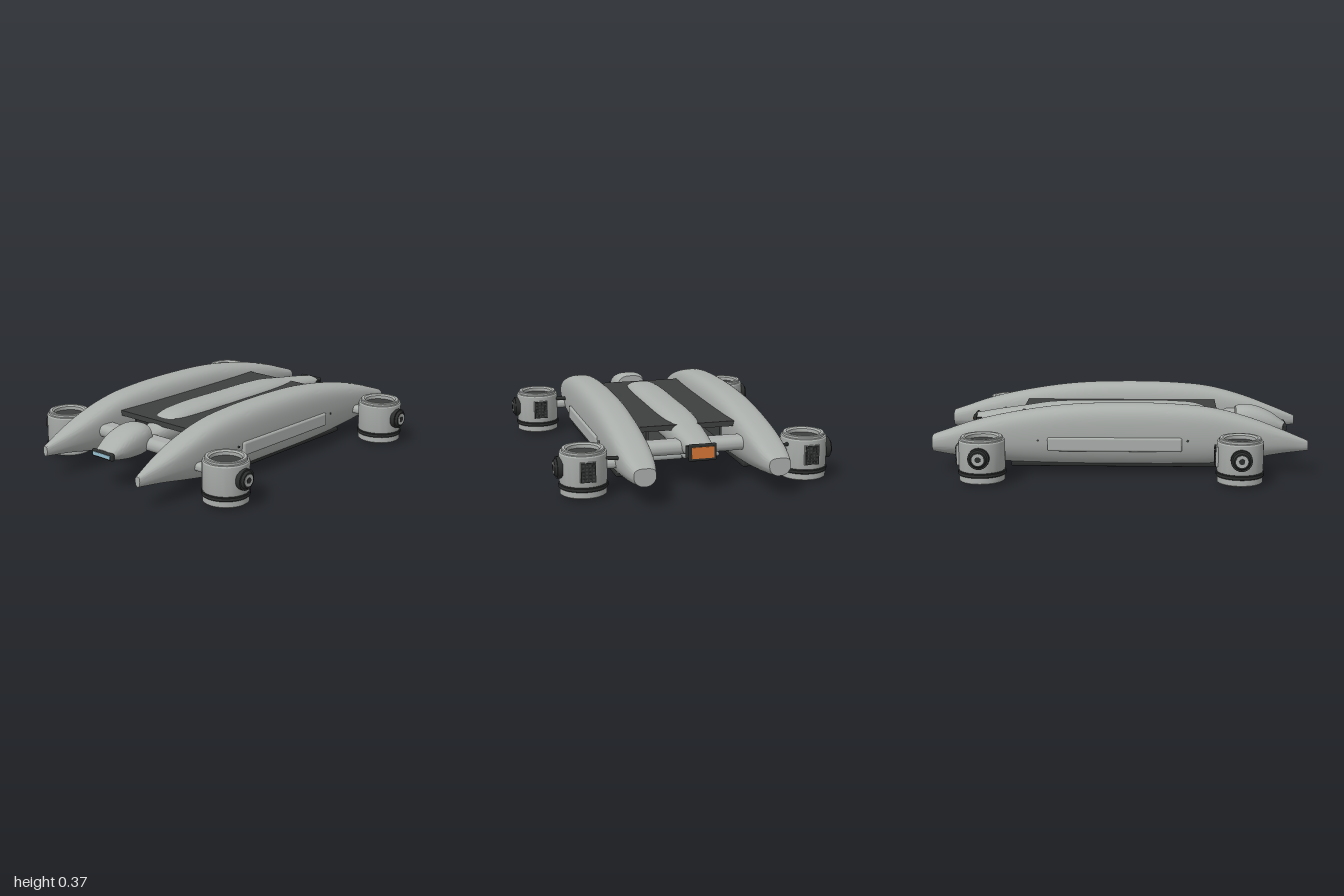
import * as THREE from 'three';
import { toCreasedNormals } from 'three/addons/utils/BufferGeometryUtils.js';
import { RoundedBoxGeometry } from 'three/addons/geometries/RoundedBoxGeometry.js';

const material = (name, color) => Object.assign(new THREE.MeshStandardMaterial({ color }), { name });
const shell = material('shell grey', 0xaaaeab);
const dark = material('deck charcoal', 0x3e3f3f);
const black = material('rubber black', 0x2c2d2d);
const panelGrey = material('panel grey', 0x8f9492);
const steel = material('outlet steel', 0x8d9da2);
const teal = material('rotor teal', 0x2c3e45);
const orange = material('tail orange', 0xd67636);
const lens = material('lens blue', 0x96c0d0);

function add(parent, name, geometry, mat, x = 0, y = 0, z = 0) {
  const mesh = new THREE.Mesh(geometry, mat);
  mesh.name = name;
  mesh.position.set(x, y, z);
  parent.add(mesh);
  return mesh;
}
const box = (w, h, d) => new THREE.BoxGeometry(w, h, d);
const rounded = (w, h, d, r) => new RoundedBoxGeometry(w, h, d, 4, r);
const drum = (r, h, n = 40) => new THREE.CylinderGeometry(r, r, h, n);
const lathe = (pts) => toCreasedNormals(
  new THREE.LatheGeometry(pts.map(([r, y]) => new THREE.Vector2(r, y)), 40), 0.5);

// Smooth body through sections [z, halfWidth, top, bottom], narrowing toward its belly
function loft(sections, { steps = 60, sides = 48, power = 2.8, taper = 0.2, waist = 0.5 } = {}) {
  const curve = new THREE.CubicInterpolant(
    sections.map((s) => s[0]), sections.flatMap((s) => s.slice(1)), 3, new Float32Array(3));
  const z0 = sections[0][0], z1 = sections[sections.length - 1][0];
  const pos = [], index = [];
  for (let i = 0; i <= steps; i++) {
    const z = z0 + (z1 - z0) * i / steps;
    const [w, top, bottom] = curve.evaluate(z);
    const mid = bottom + (top - bottom) * waist;
    for (let j = 0; j < sides; j++) {
      const a = j / sides * Math.PI * 2, c = Math.cos(a), s = Math.sin(a);
      const px = Math.sign(c) * Math.abs(c) ** (2 / power);
      const py = Math.sign(s) * Math.abs(s) ** (2 / power);
      const narrow = py < 0 ? 1 - taper * py * py : 1;
      pos.push(px * w * narrow, mid + py * (py > 0 ? top - mid : mid - bottom), z);
      if (i < steps) {
        const p = i * sides + j, q = i * sides + (j + 1) % sides;
        index.push(p, q, p + sides, q, q + sides, p + sides);
      }
    }
  }
  // End caps
  for (const i of [0, steps]) {
    const [z, , top, bottom] = sections[i ? sections.length - 1 : 0];
    const centre = pos.length / 3;
    pos.push(0, (top + bottom) / 2, z);
    for (let j = 0; j < sides; j++) {
      const p = i * sides + j, q = i * sides + (j + 1) % sides;
      index.push(centre, i ? p : q, i ? q : p);
    }
  }
  const geometry = new THREE.BufferGeometry();
  geometry.setAttribute('position', new THREE.Float32BufferAttribute(pos, 3));
  geometry.setIndex(index);
  return toCreasedNormals(geometry, 0.8);
}

const HULL = [
  [-1, 0.056, 0.2, 0.11], [-0.93, 0.072, 0.224, 0.098], [-0.8, 0.086, 0.268, 0.08],
  [-0.6, 0.094, 0.316, 0.06], [-0.3, 0.098, 0.361, 0.046], [0, 0.098, 0.374, 0.044],
  [0.3, 0.096, 0.368, 0.045], [0.5, 0.09, 0.348, 0.052], [0.7, 0.079, 0.295, 0.082],
  [0.85, 0.056, 0.239, 0.108], [1, 0.016, 0.178, 0.125]];
const SPINE = [
  [-0.815, 0.064, 0.25, 0.165], [-0.7, 0.077, 0.27, 0.155], [-0.55, 0.09, 0.291, 0.15],
  [-0.4, 0.098, 0.313, 0.15], [0, 0.1, 0.322, 0.15], [0.3, 0.099, 0.32, 0.15],
  [0.42, 0.092, 0.308, 0.152], [0.5, 0.076, 0.276, 0.155], [0.56, 0.066, 0.255, 0.16],
  [0.68, 0.064, 0.25, 0.165]];
const NOSE = [
  [0.635, 0.083, 0.296, 0.145], [0.68, 0.094, 0.304, 0.138], [0.75, 0.095, 0.295, 0.136],
  [0.83, 0.085, 0.262, 0.145], [0.905, 0.062, 0.21, 0.165]];

// Float hull with belly strip and outer side panel
function makeHull(side) {
  const hull = new THREE.Group();
  hull.name = 'hull';
  hull.position.x = side * 0.343;
  add(hull, 'hullBody', loft(HULL, { power: 3.1, taper: 0.32, waist: 0.56 }), shell);
  add(hull, 'bellyStrip', rounded(0.088, 0.024, 1.1, 0.008), black, 0, 0.05, -0.03);
  add(hull, 'sidePanel', rounded(0.026, 0.075, 0.71, 0.012), shell, side * 0.095, 0.17, -0.025);
  for (const z of [0.36, -0.43])
    add(hull, 'panelBolt', drum(0.006, 0.016, 12), dark, side * 0.091, 0.19, z).rotation.z = Math.PI / 2;
  return hull;
}

// Ducted thruster pod, built for the +x side
function makePod() {
  const pod = new THREE.Group();
  pod.name = 'thrusterPod';
  add(pod, 'ductBody', lathe([[0.1, 0.07], [0.118, 0.072], [0.12, 0.08], [0.12, 0.222],
    [0.116, 0.229], [0.108, 0.231], [0.108, 0.242], [0.104, 0.246], [0.09, 0.246], [0.081, 0.238], [0.081, 0.205]]), shell);
  add(pod, 'intakeScreen', drum(0.083, 0.01), dark, 0, 0.215, 0);
  add(pod, 'clampBand', lathe([[0.1, 0.048], [0.121, 0.048], [0.124, 0.052], [0.124, 0.066], [0.121, 0.07], [0.1, 0.07]]), black);
  add(pod, 'lowerRing', lathe([[0.086, 0.02], [0.089, 0.012], [0.112, 0.012], [0.118, 0.018], [0.118, 0.05]]), shell);
  add(pod, 'outletDisc', drum(0.09, 0.01), steel, 0, 0.016, 0);
  add(pod, 'rotorHub', drum(0.016, 0.012, 20), teal, 0, 0.0065, 0);
  for (let i = 0; i < 8; i++) {
    const a = i * Math.PI / 4;
    add(pod, 'rotorBlade', box(0.066, 0.008, 0.011), teal, Math.cos(a) * 0.046, 0.007, -Math.sin(a) * 0.046).rotation.y = a;
  }
  // Outer hub
  const hub = new THREE.Group();
  hub.name = 'sideHub';
  hub.position.set(0.11, 0.152, 0);
  hub.rotation.z = -Math.PI / 2;
  pod.add(hub);
  add(hub, 'hubBase', drum(0.055, 0.026, 24), black, 0, 0.013, 0);
  add(hub, 'hubCap', new THREE.CylinderGeometry(0.038, 0.046, 0.012, 24), black, 0, 0.032, 0);
  add(hub, 'hubRing', drum(0.031, 0.006, 24), shell, 0, 0.037, 0);
  add(hub, 'hubPin', drum(0.015, 0.007, 16), black, 0, 0.0385, 0);
  // Rear cooling grille
  add(pod, 'grilleMount', box(0.078, 0.104, 0.025), shell, 0, 0.15, -0.112);
  add(pod, 'grille', box(0.072, 0.098, 0.008), black, 0, 0.15, -0.126);
  for (let row = 0; row < 5; row++)
    for (let col = 0; col < 4; col++)
      add(pod, 'grilleStud', box(0.009, 0.009, 0.004), dark, (col - 1.5) * 0.017, 0.114 + row * 0.018, -0.131);
  // Mount to the hull and brace
  add(pod, 'podMount', rounded(0.1, 0.046, 0.1, 0.02), shell, -0.14, 0.158, 0);
  const brace = new THREE.LineCurve3(new THREE.Vector3(-0.17, 0.205, -0.105), new THREE.Vector3(-0.09, 0.195, -0.035));
  add(pod, 'podBrace', new THREE.TubeGeometry(brace, 1, 0.01, 10), black);
  return pod;
}

export function createModel() {
  const model = new THREE.Group();
  model.name = 'floatDrone';

  for (const side of [1, -1]) {
    model.add(makeHull(side));
    for (const z of [0.625, -0.705]) {
      const pod = makePod();
      pod.position.set(side * 0.583, 0, z);
      if (side < 0) pod.scale.x = -1;
      model.add(pod);
    }
  }

  // Central body
  add(model, 'spine', loft(SPINE), shell);
  add(model, 'nose', loft(NOSE, { steps: 24 }), shell);
  add(model, 'deck', box(0.53, 0.028, 1.08), dark, 0, 0.271, -0.01);
  for (const z of [0.632, -0.655])
    add(model, 'crossArm', rounded(0.58, 0.07, 0.115, 0.033), shell, 0, 0.2, z);

  // Front lamp
  add(model, 'lampFrame', rounded(0.155, 0.04, 0.022, 0.01), black, 0, 0.188, 0.906);
  add(model, 'lampLens', box(0.125, 0.018, 0.006), lens, 0, 0.188, 0.917);

  // Tail lamp with side clips
  add(model, 'tailFrame', rounded(0.145, 0.088, 0.018, 0.008), black, 0, 0.207, -0.818);
  add(model, 'tailLens', box(0.118, 0.058, 0.006), orange, 0, 0.207, -0.8275);
  for (const side of [1, -1])
    add(model, 'tailClip', box(0.012, 0.06, 0.04), black, side * 0.067, 0.207, -0.8).rotation.y = side * 0.3;

  // Cargo bay under the deck
  add(model, 'bayHousing', box(0.42, 0.055, 0.98), dark, 0, 0.145, -0.01);
  for (const side of [1, -1]) {
    add(model, 'bayWall', box(0.012, 0.1, 0.98), dark, side * 0.2, 0.215, -0.01);
    add(model, 'bayDoor', rounded(0.202, 0.022, 0.94, 0.01), panelGrey, side * 0.103, 0.088, -0.01);
    for (let i = 0; i < 5; i++)
      add(model, 'doorRib', box(0.18, 0.006, 0.014), shell, side * 0.103, 0.076, -0.45 + i * 0.22);
    for (const z of [0.4, 0, -0.42])
      add(model, 'doorHanger', drum(0.01, 0.04, 12), shell, side * 0.15, 0.11, z);
    for (const z of [0.43, -0.45])
      add(model, 'doorLatch', box(0.024, 0.012, 0.03), black, side * 0.18, 0.073, z);
  }
  for (const z of [0.48, -0.51])
    add(model, 'bayEndBar', box(0.42, 0.04, 0.035), black, 0, 0.14, z);

  return model;
}
